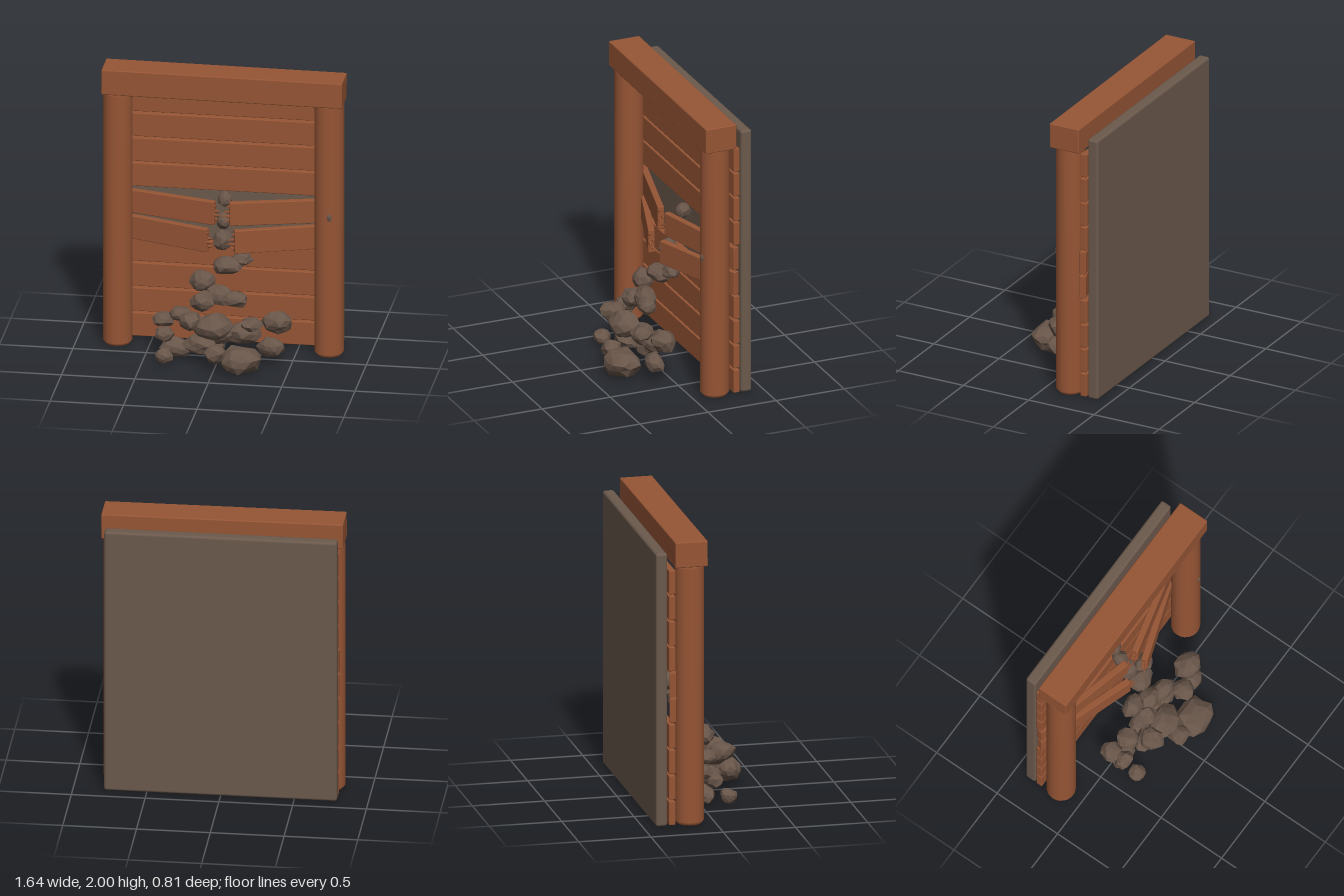
import * as THREE from 'three';
import { RoundedBoxGeometry } from 'three/addons/geometries/RoundedBoxGeometry.js';

const wood = new THREE.MeshStandardMaterial({ color: 0x965535 });
wood.name = 'wood';
const slate = new THREE.MeshStandardMaterial({ color: 0x6b594c });
slate.name = 'backing stone';
const rubble = new THREE.MeshStandardMaterial({ color: 0x685549, flatShading: true });
rubble.name = 'rubble stone';

function add(parent, name, geometry, material, x = 0, y = 0, z = 0) {
  const mesh = new THREE.Mesh(geometry, material);
  mesh.name = name;
  mesh.position.set(x, y, z);
  parent.add(mesh);
  return mesh;
}

const roundedBox = (w, h, d, r) => new RoundedBoxGeometry(w, h, d, 2, r);

// Repeatable noise in -1..1
function noise(a, b, c, seed) {
  const v = Math.sin(a * 12.99 + b * 78.23 + c * 37.72 + seed * 4.17) * 43758.55;
  return (v - Math.floor(v)) * 2 - 1;
}

// Faceted boulder: corners pushed in and out, shared corners moving together
function rockGeometry(rx, ry, rz, seed) {
  const geo = new THREE.IcosahedronGeometry(1, 1);
  const p = geo.attributes.position;
  const turn = new THREE.Euler(seed * 1.3, seed * 2.1, seed * 0.7);
  const v = new THREE.Vector3();
  for (let i = 0; i < p.count; i++) {
    v.fromBufferAttribute(p, i);
    const [a, b, c] = [v.x, v.y, v.z].map((n) => Math.round(n * 100) / 100 + 0);
    v.multiplyScalar(0.95 + 0.13 * noise(a, b, c, seed)).applyEuler(turn);
    p.setXYZ(i, v.x * rx, v.y * ry, v.z * rz);
  }
  geo.computeVertexNormals();
  return geo;
}

// Half plank hinged at the post, its snapped inner end pushed forward
function brokenPlank(parent, side, y, length, angle) {
  const half = new THREE.Group();
  half.name = side > 0 ? 'brokenPlankLeft' : 'brokenPlankRight';
  half.position.set(side * 0.79, y, -0.3);
  half.rotation.y = side * angle;
  add(half, 'board', roundedBox(length, 0.165, 0.045, 0.006), wood, -side * length / 2);
  [-0.05, -0.012, 0.01, 0.055].forEach((dy, i) => {
    const len = [0.035, 0.07, 0.05, 0.03][i];
    const splinter = add(half, 'splinter', new THREE.ConeGeometry(0.013, len, 5), wood,
      -side * (length + len / 2 - 0.005), dy, (i % 2 - 0.5) * 0.02);
    splinter.rotation.z = side * Math.PI / 2 + (i - 1.5) * 0.12;
  });
  parent.add(half);
}

export function createModel() {
  const model = new THREE.Group();
  model.name = 'collapsedTunnelWall';

  // Stone slab behind the boards
  add(model, 'backPanel', roundedBox(1.58, 1.915, 0.08, 0.018), slate, 0, 0.963, -0.375);

  // Lintel beam, very slightly out of level
  add(model, 'topBeam', roundedBox(1.64, 0.18, 0.225, 0.008), wood, 0.003, 1.905, -0.175)
    .rotation.z = -0.005;

  // Round posts with softened ends
  const profile = [[0, 0], [0.08, 0], [0.1, 0.025], [0.1, 1.8], [0.09, 1.82], [0, 1.82]]
    .map(([r, y]) => new THREE.Vector2(r, y));
  for (const side of [-1, 1]) {
    add(model, side > 0 ? 'postLeft' : 'postRight', new THREE.LatheGeometry(profile, 24),
      wood, side * 0.72, 0.003, -0.17);
  }

  // Horizontal boards; rows four and five are broken through
  for (let row = 0; row < 10; row++) {
    const y = 0.095 + row * 0.18;
    if (row === 4 || row === 5) {
      for (const side of [-1, 1]) {
        brokenPlank(model, side, y, row === 4 ? 0.74 : 0.765, row === 4 ? 0.33 : 0.25);
      }
    } else {
      add(model, 'plank', roundedBox(1.58, 0.167, 0.045, 0.006), wood, 0, y, -0.303);
    }
  }

  // Rubble spilling from the gap: x, y, z, then the three radii
  const rocks = [
    [0.19, 0.1, 0.28, 0.15, 0.1, 0.13],
    [0.02, 0.13, 0.28, 0.08, 0.07, 0.07],
    [-0.11, 0.13, 0.12, 0.12, 0.07, 0.08],
    [-0.17, 0.32, 0.19, 0.08, 0.07, 0.09],
    [-0.02, 0.28, 0.17, 0.14, 0.1, 0.1],
    [-0.29, 0.07, 0.03, 0.12, 0.07, 0.08],
    [-0.35, 0.06, 0.19, 0.065, 0.055, 0.06],
    [0.4, 0.3, 0.07, 0.11, 0.08, 0.09],
    [0.37, 0.14, 0.12, 0.1, 0.07, 0.07],
    [0.24, 0.31, 0.15, 0.08, 0.05, 0.08],
    [0.12, 0.45, 0.07, 0.09, 0.06, 0.06],
    [-0.1, 0.43, 0.08, 0.09, 0.07, 0.07],
    [-0.26, 0.32, 0.05, 0.08, 0.05, 0.08],
    [-0.38, 0.25, 0, 0.08, 0.05, 0.07],
    [-0.36, 0.18, 0.09, 0.07, 0.06, 0.06],
    [-0.12, 0.54, -0.01, 0.09, 0.08, 0.07],
    [0.01, 0.46, 0.03, 0.1, 0.08, 0.07],
    [0.04, 0.64, -0.06, 0.11, 0.065, 0.08],
    [0.14, 0.68, -0.1, 0.075, 0.05, 0.06],
    [0, 0.79, -0.14, 0.075, 0.07, 0.07],
    [0, 0.91, -0.2, 0.055, 0.06, 0.06],
    [0, 1.05, -0.25, 0.055, 0.055, 0.06],
    [0.16, 0.2, 0.03, 0.13, 0.08, 0.08],
    [0.02, 0.2, 0.05, 0.1, 0.09, 0.08],
    [-0.05, 0.07, 0.0, 0.09, 0.06, 0.07],
  ];
  rocks.forEach(([x, y, z, rx, ry, rz], i) =>
    add(model, 'rock', rockGeometry(rx, ry, rz, i + 1), rubble, x, y, z));

  // Stone chip lodged in one post
  add(model, 'stoneChip', rockGeometry(0.018, 0.03, 0.012, 40), rubble, 0.735, 1.02, -0.073);
  return model;
}
